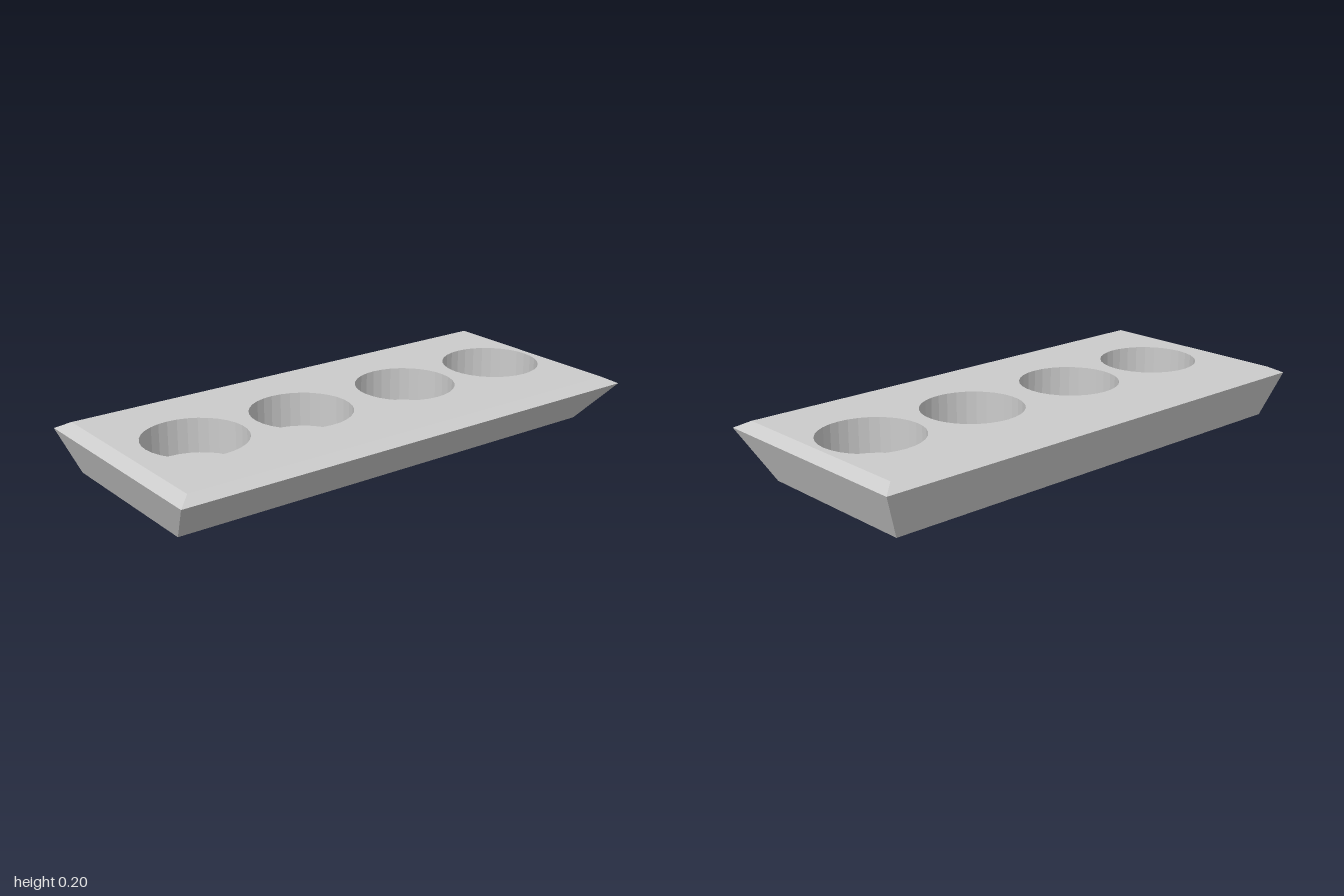
import * as THREE from 'three';

const TOP = 0.2, RIM = 0.175, FLOOR = 0.065;
const RADIUS = 0.195, SIDES = 32, HOLE_X = -0.005;
const HOLE_Z = [-0.73, -0.275, 0.22, 0.675];

// Corners of a level rectangle, counter-clockwise seen from above
const ring = (y, x0, x1, z0, z1) => [[x0, y, z1], [x1, y, z1], [x1, y, z0], [x0, y, z0]];

// Band of flat quads joining stacked rings, with the lowest ring capped
function shellGeometry(rings) {
  const pos = [];
  const quad = (a, b, c, d) => pos.push(...a, ...b, ...c, ...a, ...c, ...d);
  for (let k = 0; k < rings.length - 1; k++) {
    for (let i = 0; i < 4; i++) {
      const j = (i + 1) % 4;
      quad(rings[k][i], rings[k][j], rings[k + 1][j], rings[k + 1][i]);
    }
  }
  quad(...[...rings[0]].reverse());
  const geo = new THREE.BufferGeometry();
  geo.setAttribute('position', new THREE.Float32BufferAttribute(pos, 3));
  geo.computeVertexNormals();
  return geo;
}

export function createModel() {
  const group = new THREE.Group();
  const material = new THREE.MeshStandardMaterial({ color: 0xcccccc, flatShading: true });
  const add = (name, geometry) => {
    const mesh = new THREE.Mesh(geometry, material);
    mesh.name = name;
    group.add(mesh);
    return mesh;
  };

  // Tapered block: base, widest rim, bevel up to the top face
  add('body', shellGeometry([
    ring(0, -0.395, 0.29, -0.927, 0.927),
    ring(RIM, -0.45, 0.45, -1, 1),
    ring(TOP, -0.405, 0.405, -0.95, 0.95),
  ]));

  // Top face with four round openings (shape y becomes -z)
  const top = new THREE.Shape([[-0.405, -0.95], [0.405, -0.95], [0.405, 0.95], [-0.405, 0.95]]
    .map(([x, y]) => new THREE.Vector2(x, y)));
  for (const z of HOLE_Z) {
    const points = Array.from({ length: SIDES }, (_, i) => {
      const a = (i / SIDES) * Math.PI * 2;
      return new THREE.Vector2(HOLE_X + RADIUS * Math.cos(a), -z + RADIUS * Math.sin(a));
    });
    top.holes.push(new THREE.Path(points));
  }
  add('topFace', new THREE.ShapeGeometry(top).rotateX(-Math.PI / 2).translate(0, TOP, 0));

  // Round wells: wall facing inward and flat floor
  const profile = [[RADIUS, TOP], [RADIUS, FLOOR], [0, FLOOR]].map(([x, y]) => new THREE.Vector2(x, y));
  HOLE_Z.forEach((z, i) => {
    add(`well${i + 1}`, new THREE.LatheGeometry(profile, SIDES)).position.set(HOLE_X, 0, z);
  });

  return group;
}
